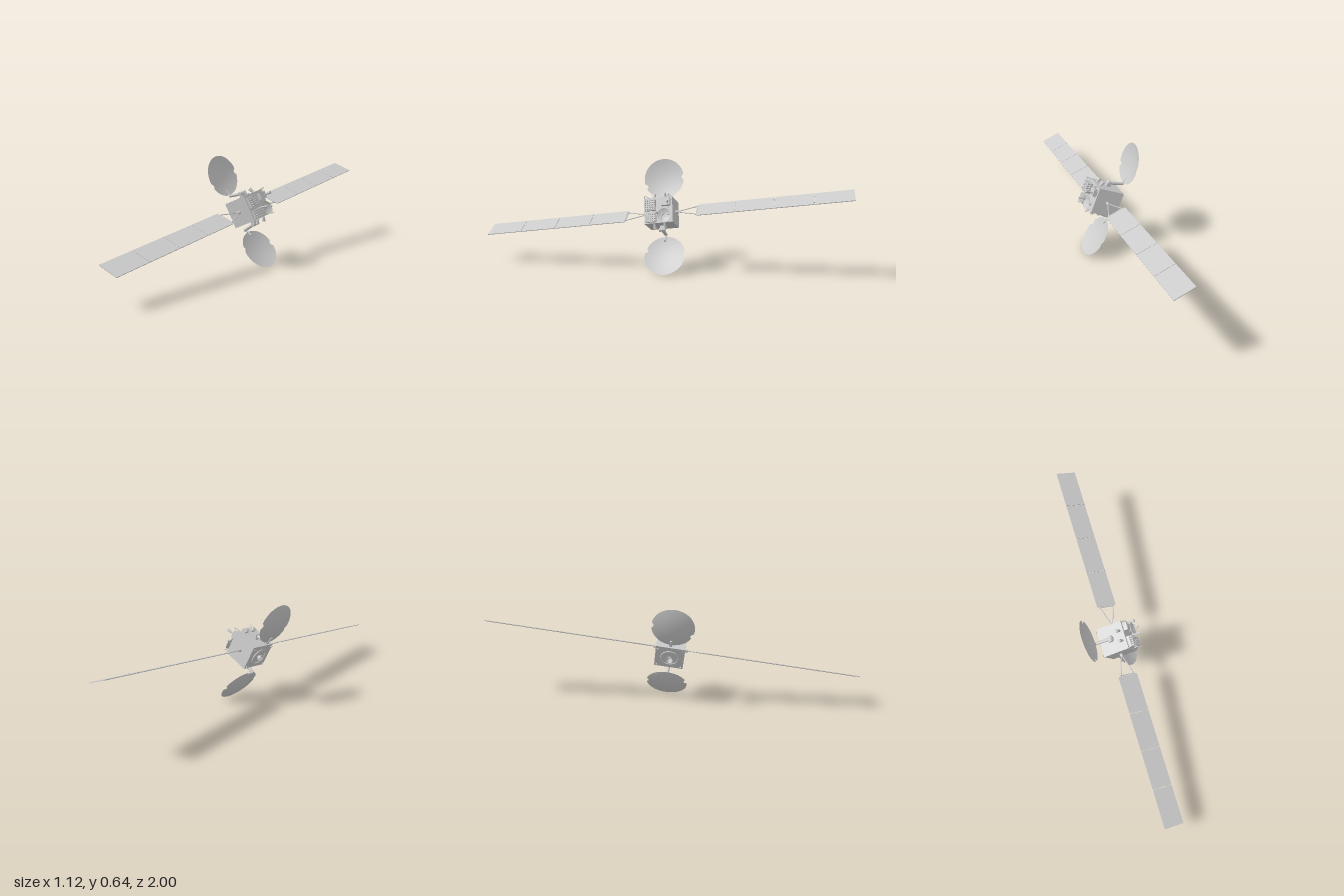
import * as THREE from 'three';

const mat = new THREE.MeshStandardMaterial({ color: 0xcccccc });
const thin = new THREE.MeshStandardMaterial({ color: 0xcccccc, side: THREE.DoubleSide });

// Satellite frame: x = solar array axis, y = antenna deck direction, z = reflector side
const HX = 0.085, HY = 0.0785, HZ = 0.077, R = 0.123;

function add(parent, name, geo, x = 0, y = 0, z = 0, material = mat) {
  const m = new THREE.Mesh(geo, material);
  m.name = name;
  m.position.set(x, y, z);
  parent.add(m);
  return m;
}

const box = (p, name, w, h, d, x, y, z) => add(p, name, new THREE.BoxGeometry(w, h, d), x, y, z);

// Round bar between two points
function rod(parent, name, a, b, r, r2 = r, sides = 8) {
  const p = new THREE.Vector3(...a), q = new THREE.Vector3(...b);
  const d = q.clone().sub(p);
  const m = add(parent, name, new THREE.CylinderGeometry(r2, r, d.length(), sides));
  m.position.copy(p).add(q).multiplyScalar(0.5);
  m.quaternion.setFromUnitVectors(new THREE.Vector3(0, 1, 0), d.normalize());
  return m;
}

// Shallow bowl opening to +y with its rim at y = 0; notches = rim angles to cut
function bowl(radius, depth, notches = []) {
  const f = r => depth * ((r / radius) ** 2 - 1);
  const profile = [];
  for (let i = 0; i <= 16; i++) {
    const r = radius * Math.max(i / 16, 0.001);
    profile.push(new THREE.Vector2(r, f(r)));
  }
  const geo = new THREE.LatheGeometry(profile, 120);
  const pos = geo.attributes.position;
  for (let i = 0; i < pos.count; i++) {
    const x = pos.getX(i), z = pos.getZ(i), r = Math.hypot(x, z);
    let limit = radius;
    for (const n of notches) {
      let d = Math.atan2(z, x) - n;
      d = Math.abs(Math.atan2(Math.sin(d), Math.cos(d))) / 0.12;
      if (d < 1) limit = Math.min(limit, radius * (1 - 0.11 * Math.sqrt(1 - d * d)));
    }
    if (r > limit) pos.setXYZ(i, x * limit / r, f(limit), z * limit / r);
  }
  return geo;
}

// One wing: four hinged panels, a V yoke and a root joint
function solarWing(side) {
  const g = new THREE.Group();
  g.name = side > 0 ? 'solarWingBack' : 'solarWingFront';
  const start = 0.217, len = (1.109 - start) / 4;
  for (let i = 0; i < 4; i++) {
    const x = side * (start + len * (i + 0.5));
    box(g, 'solarPanel', len - 0.003, 0.004, 0.123, x, 0, 0);
    if (i) for (const z of [-0.035, 0.035]) box(g, 'panelHinge', 0.008, 0.006, 0.01, x - side * len / 2, 0, z);
  }
  for (const s of [-1, 1]) rod(g, 'yokeArm', [side * 0.1, 0, s * 0.003], [side * 0.215, 0, s * 0.045], 0.003);
  rod(g, 'yokeBar', [side * 0.213, 0, -0.05], [side * 0.213, 0, 0.05], 0.003);
  rod(g, 'wingJoint', [side * (HX - 0.002), 0, 0], [side * 0.104, 0, 0], 0.01, 0.008, 16);
  g.rotation.x = -Math.PI / 4;
  return g;
}

// Side reflector with its deployment arm
function sideReflector(s, y, z, tilt) {
  const g = new THREE.Group();
  g.name = s > 0 ? 'lowerReflector' : 'upperReflector';
  const dish = add(g, 'reflectorDish', bowl(R, 0.018, [0, Math.PI + s * 0.35]), 0, y, z, thin);
  dish.rotation.x = tilt;
  rod(g, 'deployArm', [0, -0.01, s * 0.098], [0, -0.096, s * 0.112], 0.01, 0.009, 12);
  rod(g, 'armLink', [0, -0.092, s * 0.11], [0, y - 0.02, s * 0.155], 0.006);
  rod(g, 'armHinge', [-0.018, -0.005, s * 0.098], [0.018, -0.005, s * 0.098], 0.012, 0.012, 16);
  box(g, 'hingeBracket', 0.022, 0.026, 0.026, 0, -0.005, s * (HZ + 0.01));
  // Feed horns aimed at the dish
  for (const x of [-0.03, 0.03]) {
    rod(g, 'reflectorFeed', [x, 0.06, s * (HZ - 0.005)], [x, 0.045, s * (HZ + 0.026)], 0.005, 0.011, 16);
  }
  return g;
}

// Dense block of small horns on the deck
function feedCluster(parent, cx, cz, nx, nz, step, height) {
  const g = new THREE.Group();
  g.name = 'feedCluster';
  box(g, 'feedBase', nx * step, height * 0.5, nz * step, cx, HY + height * 0.25, cz);
  for (let i = 0; i < nx; i++) for (let j = 0; j < nz; j++) {
    const x = cx + (i - (nx - 1) / 2) * step, z = cz + (j - (nz - 1) / 2) * step;
    rod(g, 'feedHorn', [x, HY + height * 0.45, z], [x, HY + height, z], step * 0.25, step * 0.46, 10);
  }
  parent.add(g);
}

export function createModel() {
  const model = new THREE.Group();
  model.name = 'satellite';
  const craft = new THREE.Group();
  craft.name = 'spacecraft';
  model.add(craft);

  // Main body
  box(craft, 'body', HX * 2, HY * 2, HZ * 2, 0, 0, 0);
  for (const s of [-1, 1]) craft.add(solarWing(s));
  craft.add(sideReflector(-1, -0.0835, -0.24, 0.087));
  craft.add(sideReflector(1, -0.043, 0.2475, -0.25));

  // Deck antennas
  feedCluster(craft, -0.045, -0.03, 5, 5, 0.013, 0.035);
  feedCluster(craft, -0.045, 0.045, 5, 4, 0.013, 0.03);
  add(craft, 'deckDish', bowl(0.04, 0.012), 0.04, 0.105, 0.039, thin);
  rod(craft, 'deckDishMount', [0.04, HY, 0.039], [0.04, 0.094, 0.039], 0.012, 0.008, 16);
  for (let i = 0; i < 3; i++) {
    const a = i * Math.PI * 2 / 3;
    rod(craft, 'deckDishStrut', [0.04 + 0.036 * Math.cos(a), 0.103, 0.039 + 0.036 * Math.sin(a)], [0.04, 0.135, 0.039], 0.0012, 0.0012, 6);
  }
  add(craft, 'deckDishFeed', new THREE.CylinderGeometry(0.005, 0.005, 0.01, 12), 0.04, 0.135, 0.039);
  rod(craft, 'hornMast', [0, HY, 0.02], [0, 0.145, 0.03], 0.005, 0.006, 12);

  // Tower with its legs and end horn
  box(craft, 'deckUnit', 0.05, 0.025, 0.04, 0.05, HY + 0.0125, -0.04);
  rod(craft, 'towerMast', [0.065, HY, -0.037], [0.065, 0.13, -0.037], 0.004);
  rod(craft, 'towerHorn', [0.065, 0.122, -0.037], [0.065, 0.148, -0.037], 0.005, 0.009, 16);
  for (const [x, z] of [[0.04, -0.06], [0.083, -0.06], [0.06, -0.01]]) {
    rod(craft, 'towerLeg', [x, HY, z], [0.065, 0.122, -0.037], 0.0015, 0.0015, 6);
  }

  // Light strut frames standing on the deck corners
  for (const sx of [-1, 1]) for (const sz of [-1, 1]) {
    const top = [sx * 0.07, 0.112, sz * 0.082];
    for (const [x, z] of [[0.083, 0.075], [0.05, 0.075], [0.075, 0.05]]) {
      rod(craft, 'cornerStrut', [sx * x, HY, sz * z], top, 0.0012, 0.0012, 6);
    }
    // Small thrusters at the opposite end
    rod(craft, 'thruster', [sx * 0.07, -HY, sz * 0.062], [sx * 0.074, -HY - 0.01, sz * 0.066], 0.003, 0.006, 10);
  }

  // Launch ring and main engine
  const ring = add(craft, 'launchRing', new THREE.TorusGeometry(0.05, 0.004, 8, 48), 0, -HY - 0.004, 0);
  ring.rotation.x = Math.PI / 2;
  const nozzle = [[0.008, 0], [0.011, -0.006], [0.018, -0.014], [0.022, -0.022]].map(p => new THREE.Vector2(...p));
  add(craft, 'engineNozzle', new THREE.LatheGeometry(nozzle, 32), 0, -HY, 0, thin);

  // Attitude of the spacecraft
  const X = new THREE.Vector3(0.459, 0.1316, -0.879).normalize();
  const Z = X.clone().cross(new THREE.Vector3(0.787, 0.401, 0.471)).normalize();
  const Y = Z.clone().cross(X);
  craft.quaternion.setFromRotationMatrix(new THREE.Matrix4().makeBasis(X, Y, Z));
  craft.position.y = 0.339;
  return model;
}
